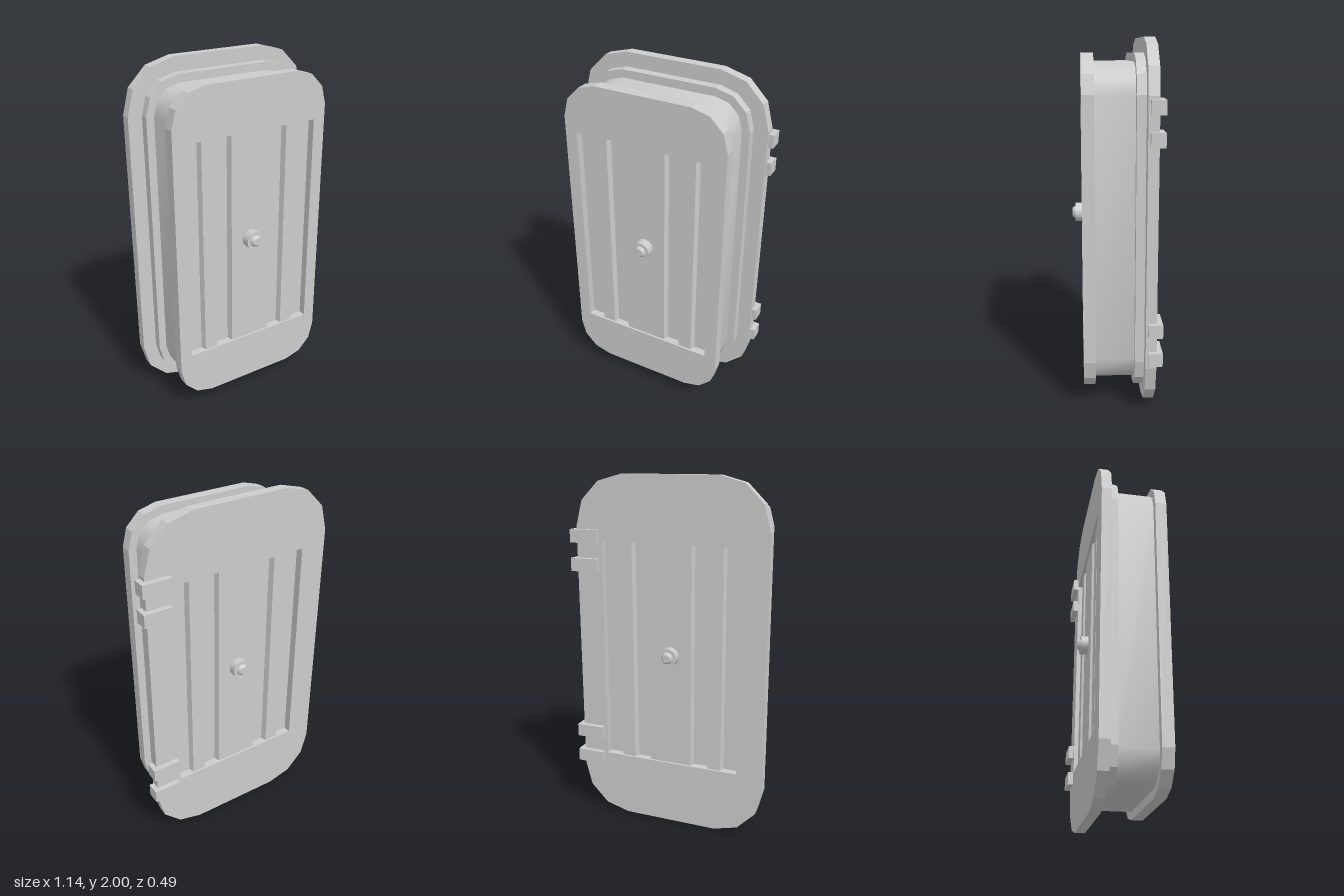
import * as THREE from 'three';
import { toCreasedNormals } from 'three/addons/utils/BufferGeometryUtils.js';

const CX = -0.015; // centre line of the hatch
const OPEN = { x: 0.4025, y0: 0.37, y1: 1.638 }; // window in the frame

export function createModel() {
  const model = new THREE.Group();
  const flat = new THREE.MeshStandardMaterial({ color: 0xcccccc, flatShading: true });
  const smooth = new THREE.MeshStandardMaterial({ color: 0xcccccc });

  const add = (name, geometry, material, x = 0, y = 0, z = 0) => {
    const mesh = new THREE.Mesh(geometry, material);
    mesh.name = name;
    mesh.position.set(x, y, z);
    model.add(mesh);
    return mesh;
  };

  // Frame layer: a faceted round-cornered slab with a rectangular opening.
  // All layers share their corner centres and differ only in corner radius.
  const layer = (name, radius, zBack, zFront, material) => {
    const outline = [];
    for (let q = 0; q < 4; q++) {
      const sx = q === 0 || q === 3 ? 1 : -1;
      const sy = q < 2 ? 1 : -1;
      for (let i = 0; i <= 3; i++) {
        const a = (q + i / 3) * Math.PI / 2;
        outline.push(new THREE.Vector2(
          sx * 0.275 + radius * Math.cos(a),
          1 + sy * (1 - 0.283) + radius * 1.01 * Math.sin(a)));
      }
    }
    const shape = new THREE.Shape(outline);
    shape.holes.push(new THREE.Path([
      new THREE.Vector2(-OPEN.x, OPEN.y0), new THREE.Vector2(-OPEN.x, OPEN.y1),
      new THREE.Vector2(OPEN.x, OPEN.y1), new THREE.Vector2(OPEN.x, OPEN.y0)]));
    let geometry = new THREE.ExtrudeGeometry(shape, { depth: zFront - zBack, bevelEnabled: false });
    if (material === smooth) geometry = toCreasedNormals(geometry, 0.7);
    add(name, geometry, material, CX, 0, zBack);
  };
  layer('backPlate', 0.28, -0.198, -0.14, flat);
  layer('backFlange', 0.2, -0.14, -0.09, flat);
  layer('core', 0.155, -0.09, 0.122, smooth);
  layer('frontFlange', 0.2, 0.122, 0.187, flat);

  // Ribbed panel: steps in and out on both faces, swept up the opening
  const steps = [[0.125, 1], [0.135, 0], [0.215, 0], [0.225, 1], [0.305, 1], [0.315, 0], [OPEN.x, 0]];
  const half = steps.map(([x, high]) => [x, high ? 0.18 : 0.148]);
  const face = [...half.map(([x, d]) => [-x, d]).reverse(), ...half];
  const profile = [
    ...face.map(([x, d]) => new THREE.Vector2(x, d)),
    ...face.map(([x, d]) => new THREE.Vector2(-x, -d))];
  const panel = new THREE.ExtrudeGeometry(new THREE.Shape(profile),
    { depth: OPEN.y1 - OPEN.y0, bevelEnabled: false });
  panel.rotateX(-Math.PI / 2);
  add('ribbedPanel', panel, flat, CX, OPEN.y0, -0.005);

  // Knobs on both faces: a round base with a tapered button
  const knobProfile = [[0.053, 0], [0.053, 0.055], [0.034, 0.055], [0.032, 0.062], [0.022, 0.072], [0, 0.072]]
    .map(([r, h]) => new THREE.Vector2(r, h));
  const knob = toCreasedNormals(new THREE.LatheGeometry(knobProfile, 20), 0.6);
  knob.rotateX(Math.PI / 2);
  add('frontKnob', knob, smooth, CX, 1.015, 0.17);
  add('backKnob', knob, smooth, CX, 1.015, -0.172).rotation.y = Math.PI;

  // Hinge leaves on the back, wrapping over the left edge
  const hinge = new THREE.BoxGeometry(0.163, 0.074, 0.076);
  for (const y of [0.342, 0.502, 1.503, 1.663]) add('hinge', hinge, flat, 0.4865, y, -0.19);

  return model;
}
